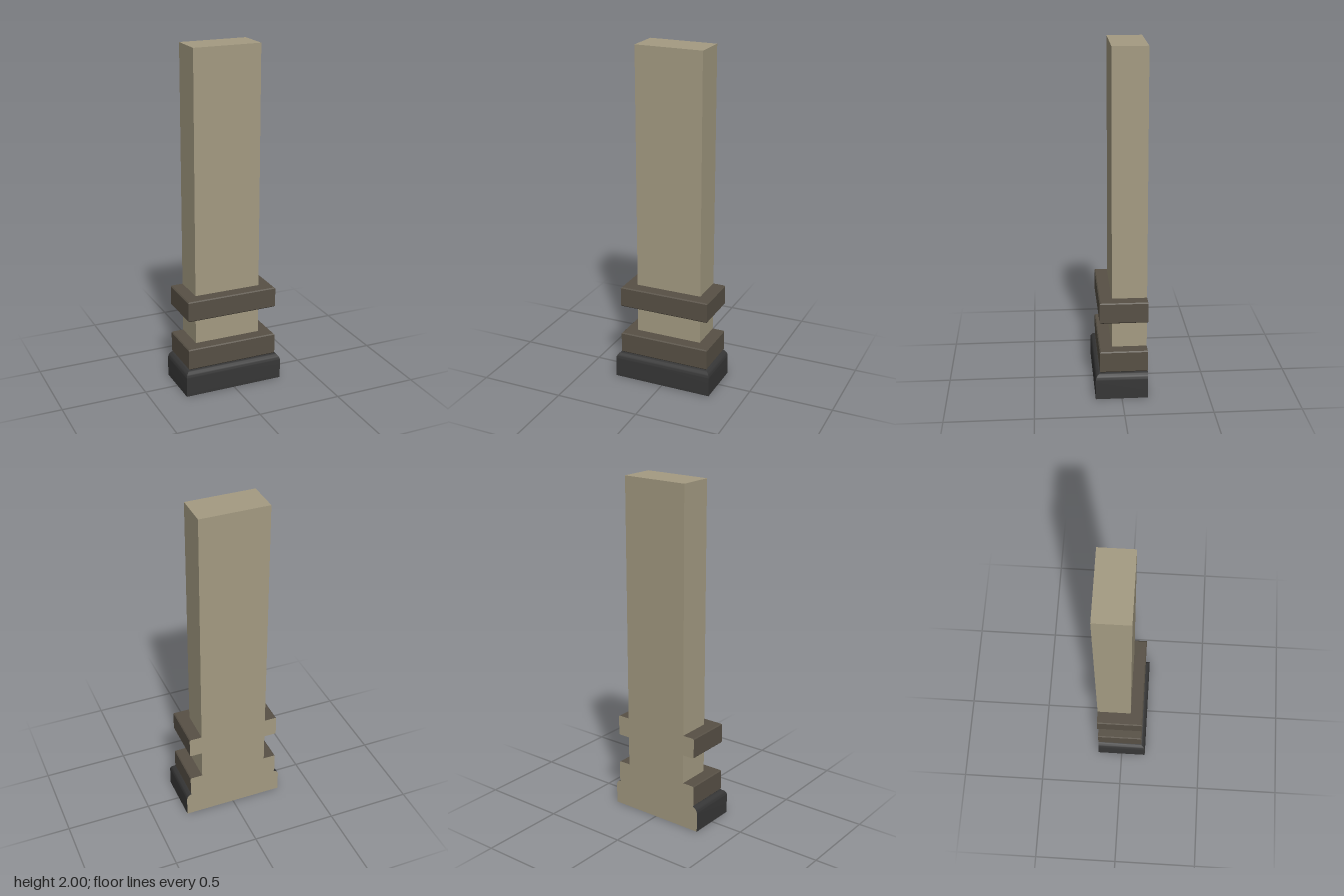
import * as THREE from 'three';
import { toCreasedNormals } from 'three/addons/utils/BufferGeometryUtils.js';

const BACK = -0.15; // plane of the flat wall side

const material = (color) => new THREE.MeshStandardMaterial({ color });

// Sweeps a [halfWidth, y] profile round the left, front and right sides with
// mitred corners, and caps it above and below. The wall side stays open.
function moulding(profile) {
  const ring = ([w, y]) => [
    [w, y, BACK], [w, y, w + BACK], [-w, y, w + BACK], [-w, y, BACK],
  ];
  const rings = profile.map(ring);
  const positions = [];
  const quad = (a, b, c, d) => positions.push(...a, ...b, ...c, ...a, ...c, ...d);
  for (let i = 0; i < rings.length - 1; i++) {
    const lo = rings[i], hi = rings[i + 1];
    for (let s = 0; s < 3; s++) quad(lo[s], hi[s], hi[s + 1], lo[s + 1]);
  }
  const bottom = rings[0], top = rings[rings.length - 1];
  quad(bottom[0], bottom[1], bottom[2], bottom[3]);
  quad(top[3], top[2], top[1], top[0]);
  const geometry = new THREE.BufferGeometry();
  geometry.setAttribute('position', new THREE.Float32BufferAttribute(positions, 3));
  return toCreasedNormals(geometry, 0.6);
}

// Straight band with slightly eased edges
function bandProfile(w, y0, y1, ease = 0.006) {
  return [[w - ease, y0], [w, y0 + ease], [w, y1 - ease], [w - ease, y1]];
}

// Plinth with a rounded upper edge
function plinthProfile(w, height, radius, steps = 8) {
  const points = [[w, 0]];
  for (let i = 0; i <= steps; i++) {
    const a = (i / steps) * Math.PI / 2;
    points.push([w - radius + radius * Math.cos(a), height - radius + radius * Math.sin(a)]);
  }
  return points;
}

export function createModel() {
  const group = new THREE.Group();
  const stone = material(0xa49b82);
  const brown = material(0x575045);
  const dark = material(0x363636);

  const add = (name, geometry, mat) => {
    const mesh = new THREE.Mesh(geometry, mat);
    mesh.name = name;
    group.add(mesh);
  };

  const plinth = plinthProfile(0.3, 0.153, 0.038);
  const lowerBand = bandProfile(0.274, 0.153, 0.28);
  const upperBand = bandProfile(0.274, 0.455, 0.577);
  const shaft = [[0.2, 0.27], [0.2, 2]];

  add('plinth', moulding(plinth), dark);
  add('lowerBand', moulding(lowerBand), brown);
  add('upperBand', moulding(upperBand), brown);
  add('shaft', moulding(shaft), stone);

  // Flat back following the whole silhouette
  const side = [...plinth, ...lowerBand, [0.2, 0.28], [0.2, 0.455], ...upperBand, [0.2, 0.577], [0.2, 2]];
  const outline = [...side, ...side.map(([x, y]) => [-x, y]).reverse()];
  const shape = new THREE.Shape(outline.map(([x, y]) => new THREE.Vector2(x, y)));
  const back = new THREE.ShapeGeometry(shape).rotateY(Math.PI).translate(0, 0, BACK);
  add('backFace', back, stone);

  return group;
}
